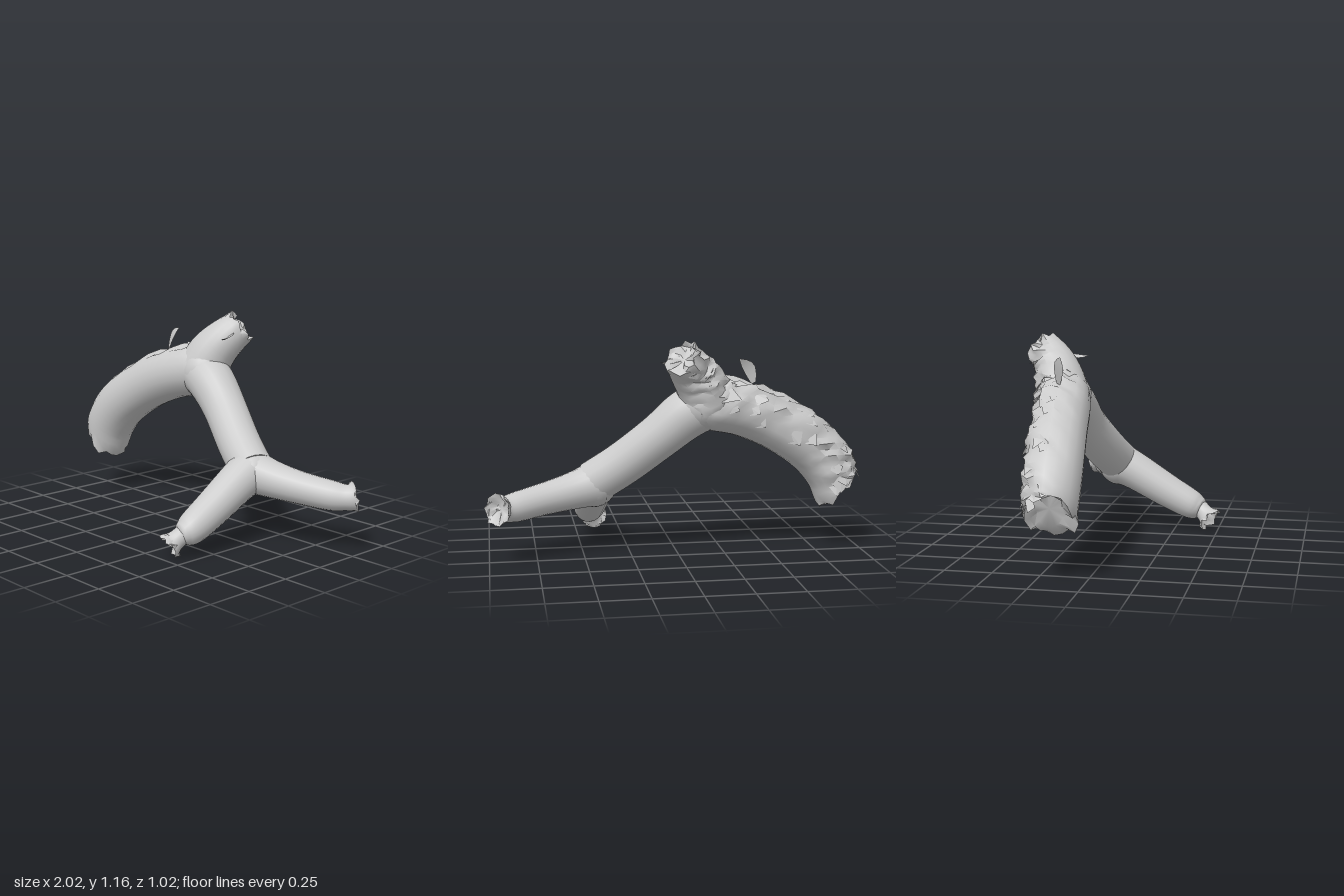
import * as THREE from 'three';
import { toCreasedNormals } from 'three/addons/utils/BufferGeometryUtils.js';

const SIDES = 20;
const V = (x, y, z) => new THREE.Vector3(x, y, z);

function seeded(seed) {
  return () => {
    seed = (seed * 16807) % 2147483647;
    return seed / 2147483647;
  };
}

// Swept section: knots are [x, y, z, radius]; returns a function giving a point on its skin
function makeSkin(knots, ref) {
  const path = new THREE.CatmullRomCurve3(knots.map(k => V(k[0], k[1], k[2])), false, 'catmullrom', 0.5);
  const radius = new THREE.CatmullRomCurve3(knots.map(k => V(k[3], 0, 0)), false, 'catmullrom', 0.5);
  return (t, angle) => {
    const tangent = path.getTangent(t);
    const side = V().crossVectors(ref, tangent).normalize();
    const up = V().crossVectors(tangent, side);
    const dir = side.multiplyScalar(Math.cos(angle)).addScaledVector(up, Math.sin(angle));
    return { centre: path.getPoint(t), dir, tangent, r: radius.getPoint(t).x };
  };
}

// Limb with an optional rough bark side and a torn, hollowed end
function makeLimb({ knots, ref, rings = 24, bark = null, torn = 0, hollow = 0, shear = 0, seed = 7 }) {
  const rnd = seeded(seed), skin = makeSkin(knots, ref);
  const pos = [], index = [];
  const addRing = (t, scale, jag, inset) => {
    for (let j = 0; j < SIDES; j++) {
      const s = skin(t, j / SIDES * Math.PI * 2);
      let r = s.r * scale;
      if (bark && scale === 1) {
        const cover = THREE.MathUtils.smoothstep(s.dir.dot(bark), 0.2, 0.6);
        r += cover * (rnd() * 0.036 - 0.026);
      }
      if (jag) r *= 0.93 + rnd() * 0.16;
      const along = (rnd() - 0.5) * 2 * jag - inset + shear * s.dir.x * s.r * t ** 6;
      const p = s.centre.addScaledVector(s.dir, r).addScaledVector(s.tangent, along);
      pos.push(p.x, p.y, p.z);
    }
  };
  for (let i = 0; i <= rings; i++) addRing(i / rings, 1, i === rings ? torn : 0, 0);
  // Torn end: folded-in rings down to a sunken centre
  addRing(1, 0.82, torn * 0.8, hollow * 0.4);
  addRing(1, 0.5, torn * 0.6, hollow);
  const total = rings + 3;
  for (let i = 0; i < total - 1; i++) {
    for (let j = 0; j < SIDES; j++) {
      const a = i * SIDES + j, b = i * SIDES + (j + 1) % SIDES;
      index.push(a, b, a + SIDES, b, b + SIDES, a + SIDES);
    }
  }
  const end = skin(1, 0), c = end.centre.addScaledVector(end.tangent, -hollow);
  const last = (total - 1) * SIDES;
  for (let j = 0; j < SIDES; j++) index.push(last + j, last + (j + 1) % SIDES, total * SIDES);
  pos.push(c.x, c.y, c.z);
  const geo = new THREE.BufferGeometry();
  geo.setAttribute('position', new THREE.Float32BufferAttribute(pos, 3));
  geo.setIndex(index);
  return toCreasedNormals(geo, 0.9);
}

// Irregular shards lifted slightly off the bark side of a limb
function makeFlakes({ knots, ref, bark, seed }, count) {
  const rnd = seeded(seed), skin = makeSkin(knots, ref), pos = [];
  while (pos.length < count * 18) {
    const t = 0.12 + rnd() * 0.78, a = rnd() * Math.PI * 2;
    if (skin(t, a).dir.dot(bark) < 0.35) continue;
    const at = (dt, da, lift) => {
      const s = skin(Math.min(1, t + dt), a + da);
      return s.centre.addScaledVector(s.dir, s.r + lift);
    };
    const len = 0.06 + rnd() * 0.07, wide = 0.25 + rnd() * 0.3;
    const q = [at(0, 0, -0.02), at(len * 0.3, wide, -0.004), at(len, wide * 0.5, rnd() * 0.015), at(len * 0.7, -wide * 0.5, -0.006)];
    for (const k of [0, 1, 2, 0, 2, 3]) pos.push(q[k].x, q[k].y, q[k].z);
  }
  const geo = new THREE.BufferGeometry();
  geo.setAttribute('position', new THREE.Float32BufferAttribute(pos, 3));
  geo.computeVertexNormals();
  return geo;
}

// Curled splinter: a thin pointed strip from base to tip
function makeSplinter(base, tip, across, bend) {
  const pos = [], index = [], n = 5;
  for (let i = 0; i <= n; i++) {
    const t = i / n, w = 0.35 + Math.sin(t * Math.PI) * 0.65 - t * 0.3;
    const c = base.clone().lerp(tip, t).addScaledVector(bend, Math.sin(t * Math.PI));
    for (const s of [-1, 1]) pos.push(...c.clone().addScaledVector(across, s * w).toArray());
    if (i < n) index.push(2 * i, 2 * i + 1, 2 * i + 2, 2 * i + 1, 2 * i + 3, 2 * i + 2);
  }
  const geo = new THREE.BufferGeometry();
  geo.setAttribute('position', new THREE.Float32BufferAttribute(pos, 3));
  geo.setIndex(index);
  geo.computeVertexNormals();
  return geo;
}

export function createModel() {
  const group = new THREE.Group();
  const material = new THREE.MeshStandardMaterial({ color: 0xcccccc, side: THREE.DoubleSide });
  const add = (name, geo) => {
    const mesh = new THREE.Mesh(geo, material);
    mesh.name = name;
    group.add(mesh);
    return mesh;
  };
  const X = V(1, 0, 0), Y = V(0, 1, 0), Z = V(0, 0, 1);

  // Thick arching limb with bark along its upper back
  const trunk = {
    knots: [[-0.08, 0.82, -0.28, 0.13], [-0.18, 0.825, -0.272, 0.15], [-0.35, 0.785, -0.235, 0.15], [-0.55, 0.695, -0.207, 0.15],
      [-0.735, 0.57, -0.182, 0.151], [-0.843, 0.445, -0.172, 0.148], [-0.89, 0.33, -0.167, 0.135]],
    ref: Z, rings: 24, bark: V(0, 0.8, -0.6), torn: 0.03, hollow: 0.045, shear: 0.6, seed: 11,
  };
  add('trunk', makeLimb(trunk));
  add('trunkBark', makeFlakes(trunk, 24));

  // Short broken stub rising at the back
  const stub = {
    knots: [[-0.15, 0.83, -0.275, 0.145], [-0.105, 0.925, -0.31, 0.135], [-0.05, 1.0, -0.352, 0.118], [0.01, 1.075, -0.42, 0.097]],
    ref: X, rings: 10, bark: V(-0.5, 0.2, -0.84), torn: 0.022, hollow: 0.02, seed: 23,
  };
  add('stub', makeLimb(stub));
  add('stubBark', makeFlakes(stub, 5));

  // Middle limb running down to the fork
  add('middleLimb', makeLimb({
    knots: [[-0.14, 0.82, -0.265, 0.135], [-0.03, 0.757, -0.245, 0.132], [0.1, 0.645, -0.213, 0.121], [0.28, 0.495, -0.143, 0.118], [0.44, 0.382, -0.085, 0.117]],
    ref: Z,
  }));

  // Rounded joints where limbs meet
  for (const [name, x, y, z, r] of [['upperJoint', -0.12, 0.82, -0.268, 0.142], ['forkJoint', 0.435, 0.37, -0.083, 0.122]]) {
    add(name, new THREE.SphereGeometry(r, 24, 16)).position.set(x, y, z);
  }

  // Front branch with pinched tip and torn frill
  add('frontBranch', makeLimb({
    knots: [[0.43, 0.375, -0.08, 0.12], [0.43, 0.327, 0.02, 0.108], [0.43, 0.222, 0.2, 0.096], [0.43, 0.147, 0.34, 0.084], [0.425, 0.125, 0.395, 0.062], [0.42, 0.118, 0.415, 0.035]],
    ref: X,
  }));
  add('frontFrill', makeLimb({
    knots: [[0.425, 0.125, 0.395, 0.05], [0.405, 0.095, 0.43, 0.052], [0.388, 0.068, 0.462, 0.074]],
    ref: X, rings: 6, torn: 0.018, hollow: 0.045, seed: 31,
  }));

  // Left branch with a flared torn end
  add('leftBranch', makeLimb({
    knots: [[0.42, 0.377, -0.085, 0.122], [0.55, 0.347, -0.122, 0.1], [0.7, 0.321, -0.175, 0.086], [0.85, 0.298, -0.245, 0.079], [0.925, 0.294, -0.288, 0.068], [0.953, 0.3, -0.318, 0.082]],
    ref: Y, torn: 0.012, hollow: 0.035, seed: 43,
  }));

  // Loose splinters
  add('trunkSplinter', makeSplinter(V(-0.4, 0.92, -0.24), V(-0.32, 1.05, -0.25), V(0.03, -0.02, 0.02), V(-0.01, 0.02, 0)));
  add('stubSplinter', makeSplinter(V(0.03, 1.06, -0.34), V(0.09, 1.03, -0.19), V(0.02, 0.012, -0.01), V(0.01, -0.015, 0)));
  return group;
}
